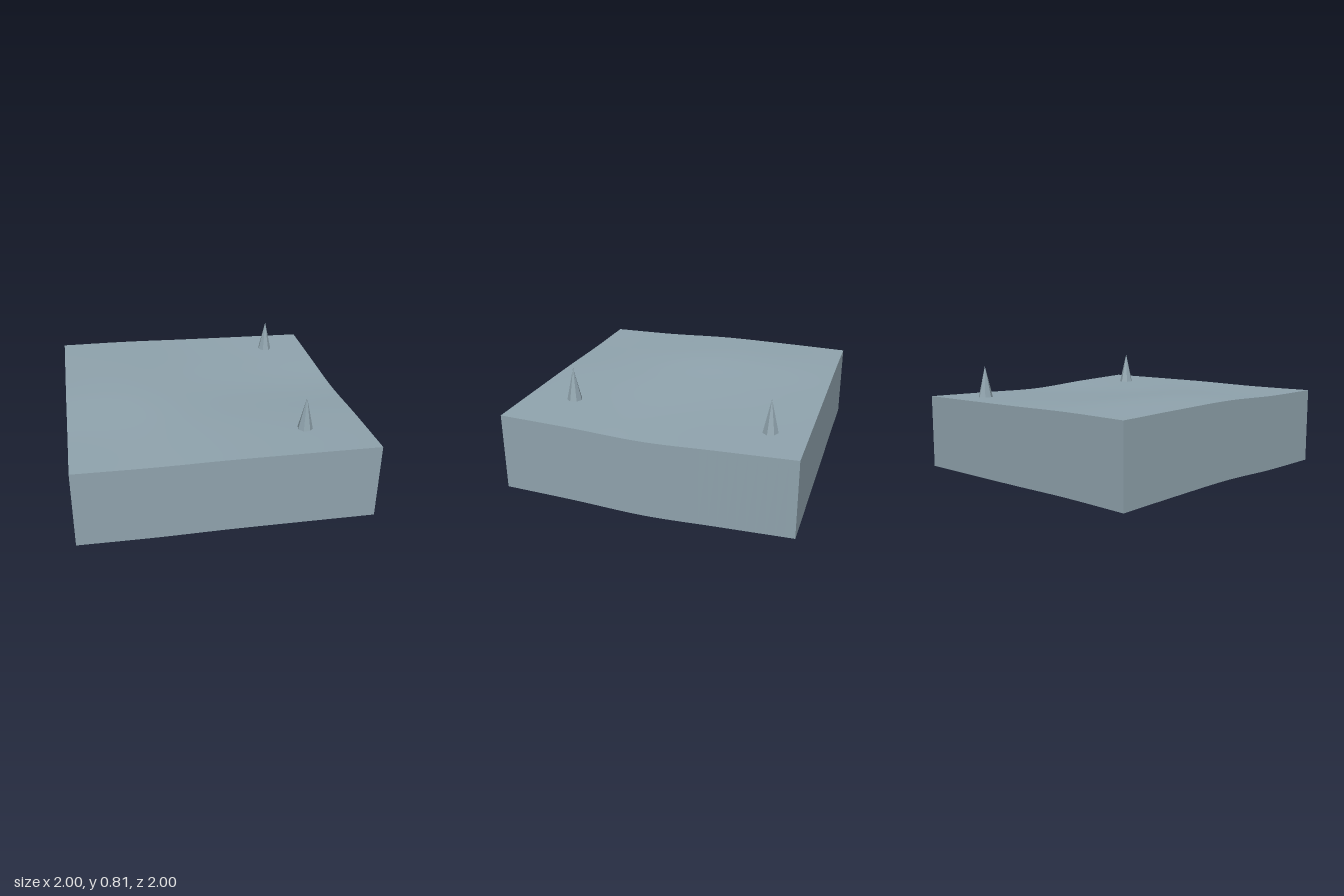
import * as THREE from 'three';

// Ground heights at x = -1..1 (across), for z = -1..1 (rows, back to front)
const HEIGHTS = [
  [0.605, 0.600, 0.585, 0.572, 0.560],
  [0.615, 0.612, 0.584, 0.560, 0.547],
  [0.620, 0.614, 0.580, 0.552, 0.535],
  [0.604, 0.600, 0.588, 0.572, 0.560],
  [0.601, 0.592, 0.592, 0.586, 0.579],
];
const SKIRT = 0.535; // depth of the side walls
const SEGMENTS = 32;

// Smooth curve through five evenly spaced values, u from -1 to 1
function smooth(v, u) {
  const t = Math.min(Math.max((u + 1) * 2, 0), 4);
  const i = Math.min(Math.floor(t), 3);
  const f = t - i;
  const a = i > 0 ? v[i - 1] : 2 * v[0] - v[1];
  const d = i < 3 ? v[i + 2] : 2 * v[4] - v[3];
  const b = v[i], c = v[i + 1];
  return b + 0.5 * f * (c - a + f * (2 * a - 5 * b + 4 * c - d + f * (3 * (b - c) + d - a)));
}

const groundHeight = (x, z) => smooth(HEIGHTS.map((row) => smooth(row, x)), z);

export function createModel() {
  const group = new THREE.Group();
  const slate = new THREE.MeshStandardMaterial({ color: 0x90a4ae, side: THREE.DoubleSide });
  slate.name = 'blueGrey';

  const add = (name, geometry) => {
    const mesh = new THREE.Mesh(geometry, slate);
    mesh.name = name;
    group.add(mesh);
    return mesh;
  };

  // Gently rolling top surface
  const ground = new THREE.PlaneGeometry(2, 2, SEGMENTS, SEGMENTS).rotateX(-Math.PI / 2);
  const gp = ground.attributes.position;
  for (let i = 0; i < gp.count; i++) gp.setY(i, groundHeight(gp.getX(i), gp.getZ(i)));
  ground.computeVertexNormals();
  add('groundSurface', ground);

  // Four walls whose top and bottom edges both follow the ground; open underneath
  const names = ['frontWall', 'leftWall', 'backWall', 'rightWall'];
  names.forEach((name, side) => {
    const wall = new THREE.PlaneGeometry(2, 1, SEGMENTS, 1)
      .translate(0, 0, 1)
      .rotateY((side * Math.PI) / 2);
    const p = wall.attributes.position;
    for (let i = 0; i < p.count; i++) {
      const drop = p.getY(i) < 0 ? SKIRT : 0;
      p.setY(i, groundHeight(p.getX(i), p.getZ(i)) - drop);
    }
    add(name, wall);
  });

  // Two faceted spikes standing on the ground
  const spikes = [
    ['frontSpike', 0.58, 0.665, 0.575, 0.808],
    ['backSpike', 0.665, -0.75, 0.56, 0.79],
  ];
  for (const [name, x, z, base, tip] of spikes) {
    const cone = new THREE.ConeGeometry(0.053, tip - base, 7, 1, true)
      .rotateY(Math.PI)
      .toNonIndexed();
    cone.computeVertexNormals();
    add(name, cone).position.set(x, (base + tip) / 2, z);
  }

  return group;
}
